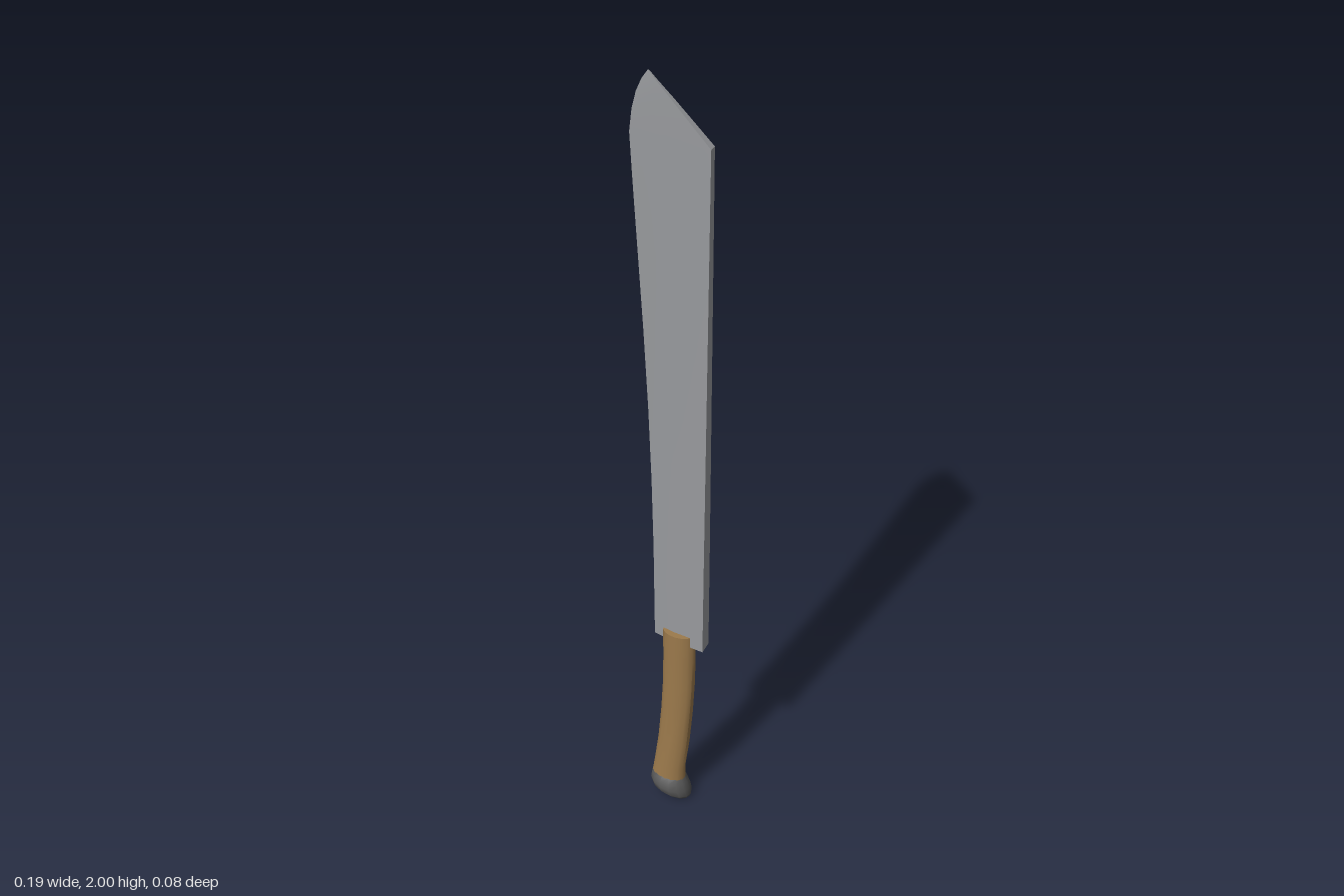
import * as THREE from 'three';
import { toCreasedNormals } from 'three/addons/utils/BufferGeometryUtils.js';

// Skin a stack of equal-length rings (counter-clockwise seen from above), capped at both ends
function loft(rings, crease) {
  const n = rings[0].length, pos = [], idx = [];
  rings.forEach(r => r.forEach(p => pos.push(...p)));
  for (let i = 0; i < rings.length - 1; i++) {
    for (let j = 0; j < n; j++) {
      const a = i * n + j, b = i * n + (j + 1) % n;
      idx.push(a, b, b + n, a, b + n, a + n);
    }
  }
  const top = (rings.length - 1) * n;
  for (let j = 1; j < n - 1; j++) {
    idx.push(0, j + 1, j);
    idx.push(top, top + j, top + j + 1);
  }
  const g = new THREE.BufferGeometry();
  g.setAttribute('position', new THREE.Float32BufferAttribute(pos, 3));
  g.setIndex(idx);
  return toCreasedNormals(g, crease);
}

// Ellipse ring; slope raises y with x to tilt it
function ellipse([x, y, rx, rz, slope], n) {
  return Array.from({ length: n }, (_, j) => {
    const a = (j / n) * Math.PI * 2, dx = rx * Math.cos(a);
    return [x + dx, y + slope * dx, -rz * Math.sin(a)];
  });
}

function addPart(group, name, geometry, color) {
  const mesh = new THREE.Mesh(geometry, new THREE.MeshStandardMaterial({ color }));
  mesh.name = name;
  group.add(mesh);
}

export function createModel() {
  const group = new THREE.Group();
  group.name = 'machete';

  // Blade: wedge section from sharp edge to flat spine; y, edge x, spine x, half thickness
  const blade = [
    [0.535, -0.044, 0.091, 0.018],
    [0.8, -0.046, 0.091, 0.017],
    [1.0, -0.05, 0.091, 0.0155],
    [1.2, -0.057, 0.091, 0.014],
    [1.4, -0.067, 0.091, 0.0125],
    [1.6, -0.079, 0.091, 0.011],
    [1.75, -0.088, 0.091, 0.01],
    [1.86, -0.094, 0.091, 0.009],
    [1.91, -0.088, 0.041, 0.007],
    [1.95, -0.078, 0.001, 0.005],
    [1.98, -0.065, -0.03, 0.003],
    [2.0, -0.051, -0.049, 0.001],
  ].map(([y, e, s, t]) => {
    const m = e + (s - e) * 0.4;
    return [[s, y, t], [s, y, -t], [m, y, -t * 0.6], [e, y, 0], [m, y, t * 0.6]];
  });
  addPart(group, 'blade', loft(blade, 0.5), 0x989a9d);

  // Handle: curved oval grip, flaring slightly at the pommel
  const handle = [
    [-0.006, 0.068, 0.045, 0.029, -0.1],
    [-0.003, 0.11, 0.042, 0.027, -0.08],
    [0.008, 0.2, 0.042, 0.026, -0.07],
    [0.016, 0.3, 0.042, 0.026, -0.05],
    [0.021, 0.4, 0.042, 0.026, -0.02],
    [0.022, 0.48, 0.042, 0.027, 0],
    [0.022, 0.565, 0.042, 0.028, 0],
  ].map(r => ellipse(r, 16));
  addPart(group, 'handle', loft(handle, 0.8), 0x9c7a4c);

  // Pommel: tilted rounded knob
  const pommel = [
    [0.012, 0.009, 0.024, 0.014, -0.22],
    [0.008, 0.016, 0.044, 0.03, -0.22],
    [0.002, 0.03, 0.054, 0.041, -0.25],
    [-0.001, 0.046, 0.053, 0.043, -0.2],
    [-0.003, 0.062, 0.049, 0.037, -0.15],
    [-0.005, 0.075, 0.043, 0.027, -0.1],
  ].map(r => ellipse(r, 14));
  addPart(group, 'pommel', loft(pommel, 0.9), 0x555555);

  return group;
}
